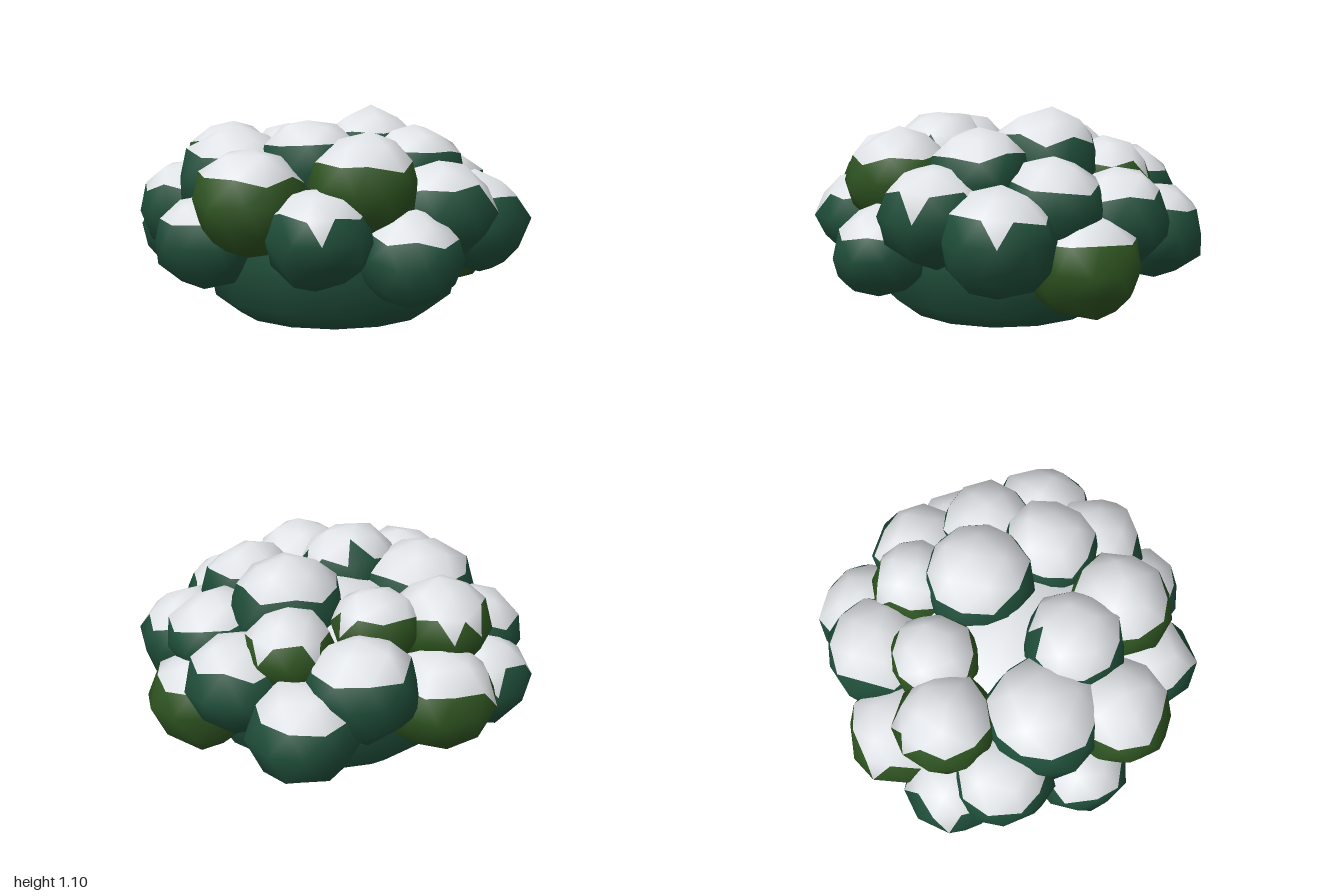
import * as THREE from 'three';
import { mergeVertices } from 'three/addons/utils/BufferGeometryUtils.js';

const material = (name, color) => {
  const m = new THREE.MeshStandardMaterial({ color });
  m.name = name;
  return m;
};

// Seeded random number from -1 to 1
function randomFrom(seed) {
  let s = (seed * 7919 + 17) % 233280;
  return () => {
    s = (s * 9301 + 49297) % 233280;
    return (s / 233280) * 2 - 1;
  };
}

// Sorts the faces into leaf (group 0) and snow (group 1) by how far they look up
function addSnow(geometry, threshold) {
  const p = geometry.attributes.position, index = geometry.index.array;
  const tri = new THREE.Triangle(), n = new THREE.Vector3();
  const leaf = [], snow = [];
  for (let i = 0; i < index.length; i += 3) {
    const [a, b, c] = [index[i], index[i + 1], index[i + 2]];
    tri.setFromAttributeAndIndices(p, a, b, c);
    tri.getNormal(n);
    (n.y > threshold ? snow : leaf).push(a, b, c);
  }
  geometry.setIndex([...leaf, ...snow]);
  geometry.addGroup(0, leaf.length, 0);
  geometry.addGroup(leaf.length, snow.length, 1);
  return geometry;
}

// Slightly flattened, irregular low-poly ball with a vertex at its top
function clumpGeometry(radius, seed) {
  const rnd = randomFrom(seed);
  let g = new THREE.IcosahedronGeometry(radius, 1);
  g.deleteAttribute('uv');
  g.deleteAttribute('normal');
  g = mergeVertices(g, 1e-4);
  g.rotateZ(Math.atan(2 / (1 + Math.sqrt(5))));
  g.rotateY(rnd() * Math.PI);
  g.rotateX(rnd() * 0.07);
  g.rotateZ(rnd() * 0.07);
  g.scale(1, 0.92, 1);
  const p = g.attributes.position;
  for (let i = 0; i < p.count; i++) {
    const k = 0.06 * radius;
    p.setXYZ(i, p.getX(i) + rnd() * k, p.getY(i) + rnd() * k, p.getZ(i) + rnd() * k);
  }
  g.computeVertexNormals();
  return addSnow(g, 0.48);
}

export function createModel() {
  const model = new THREE.Group();
  model.name = 'snowyBush';
  const green = material('dark green leaves', 0x1f4d39);
  const olive = material('olive green leaves', 0x2d5220);
  const snow = material('snow', 0xe6e9ed);

  // Rounded core with a nearly flat underside
  const profile = [[0, 0], [0.28, 0.008], [0.5, 0.03], [0.63, 0.13], [0.68, 0.35],
    [0.63, 0.6], [0.38, 0.81], [0, 0.88]].map(([x, y]) => new THREE.Vector2(x, y));
  let coreGeometry = new THREE.LatheGeometry(profile, 14);
  coreGeometry.deleteAttribute('uv');
  coreGeometry.deleteAttribute('normal');
  coreGeometry = mergeVertices(coreGeometry, 1e-4);
  coreGeometry.computeVertexNormals();
  const core = new THREE.Mesh(addSnow(coreGeometry, 0.6), [green, snow]);
  core.name = 'bushCore';
  model.add(core);

  // Leaf clumps: x, y, z, radius
  const greenClumps = [
    [0.16, 0.61, -0.68, 0.285], [0.45, 0.44, -0.65, 0.285], [-0.6, 0.43, -0.55, 0.265],
    [-0.68, 0.58, -0.32, 0.275], [0.62, 0.56, -0.28, 0.275], [-0.52, 0.74, -0.04, 0.31],
    [0.27, 0.82, -0.08, 0.295], [0.58, 0.65, 0.1, 0.27], [-0.24, 0.82, 0.24, 0.27],
    [0.31, 0.78, 0.33, 0.26], [-0.38, 0.52, 0.6, 0.265], [0.04, 0.41, 0.74, 0.255],
    [0.3, 0.61, 0.59, 0.275], [0.62, 0.51, 0.42, 0.285], [-0.75, 0.45, 0.08, 0.255],
  ];
  const oliveClumps = [
    [-0.25, 0.49, -0.72, 0.285], [-0.37, 0.77, -0.51, 0.26], [-0.04, 0.79, -0.44, 0.23],
    [0.4, 0.73, -0.38, 0.235], [0.72, 0.37, -0.01, 0.285], [-0.11, 0.74, 0.55, 0.28],
    [-0.61, 0.67, 0.33, 0.285],
  ];
  let seed = 3;
  const addClumps = (list, leaf, name) => {
    for (const [x, y, z, r] of list) {
      const clump = new THREE.Mesh(clumpGeometry(r, seed++), [leaf, snow]);
      clump.name = name;
      clump.position.set(x, y, z);
      model.add(clump);
    }
  };
  addClumps(greenClumps, green, 'greenLeafClump');
  addClumps(oliveClumps, olive, 'oliveLeafClump');
  return model;
}
